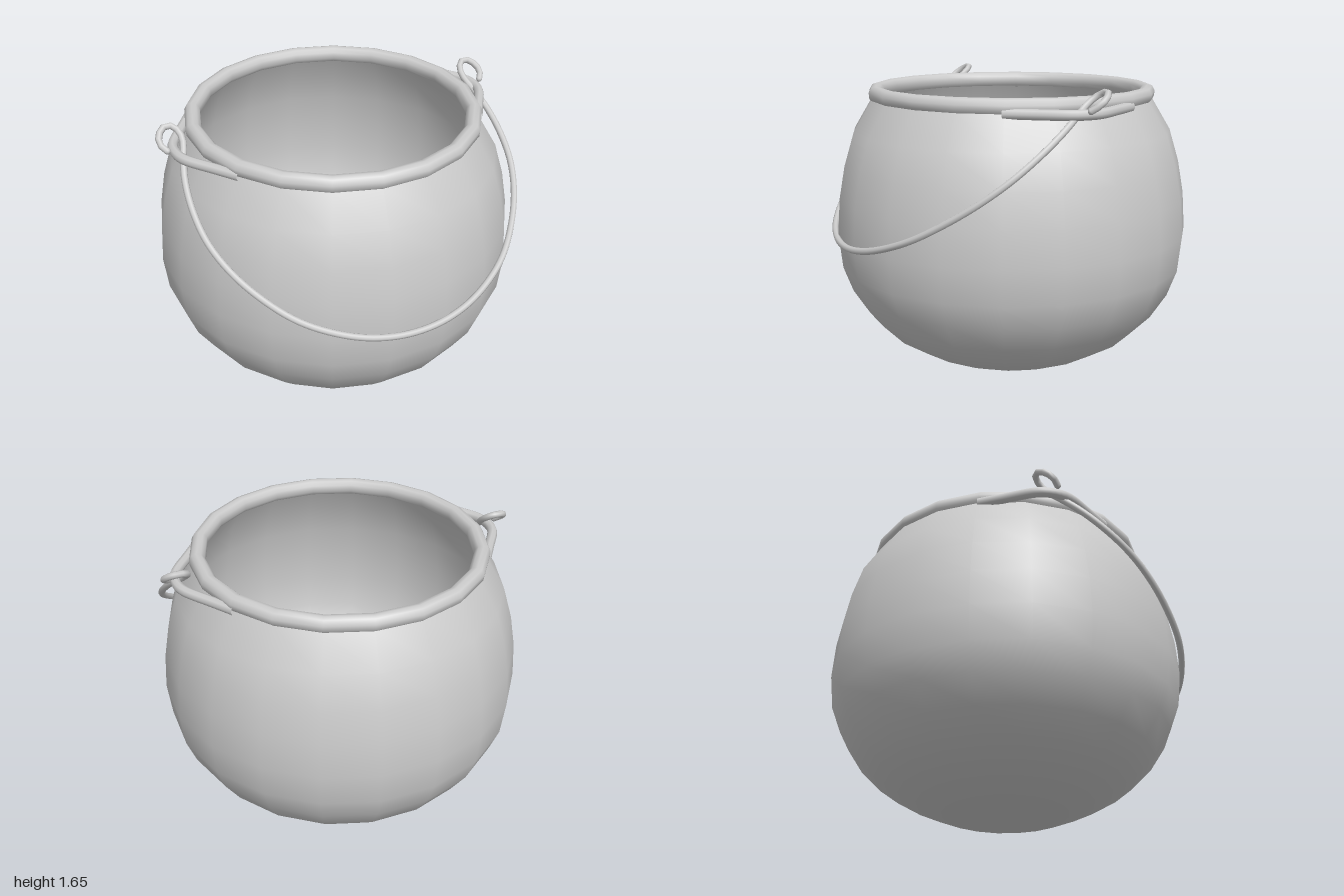
import * as THREE from 'three';

const material = new THREE.MeshStandardMaterial({ color: 0xcccccc });
const SIDES = 20;

function add(parent, name, geometry) {
  const mesh = new THREE.Mesh(geometry, material);
  mesh.name = name;
  parent.add(mesh);
  return mesh;
}

// Turned part with flat sides facing the main axes
function lathe(points) {
  const profile = points.map(([r, y]) => new THREE.Vector2(r, y));
  return new THREE.LatheGeometry(profile, SIDES, Math.PI / SIDES);
}

function tube(points, segments, radius, sides) {
  return new THREE.TubeGeometry(new THREE.CatmullRomCurve3(points), segments, radius, sides);
}

export function createModel() {
  const group = new THREE.Group();
  const pot = new THREE.Group();
  pot.name = 'pot';
  pot.position.z = -0.02;
  group.add(pot);

  // Round belly, outside
  const outer = [[0, 0], [0.18, 0.002], [0.37, 0.04], [0.55, 0.115], [0.71, 0.21], [0.83, 0.33],
    [0.92, 0.47], [0.972, 0.61], [0.992, 0.8], [0.978, 1.0], [0.945, 1.18], [0.89, 1.36], [0.785, 1.535]];
  add(pot, 'bellyOutside', lathe(outer));

  // Belly inside, following the outer wall
  const inner = outer.map(([r, y]) => [Math.max(0, r * 0.955 - 0.01), 0.045 + y * 0.985]).reverse();
  add(pot, 'bellyInside', lathe(inner));

  // Thick rounded rim
  add(pot, 'rim', lathe([[0.735, 1.525], [0.775, 1.522], [0.797, 1.545], [0.8, 1.575], [0.785, 1.602],
    [0.76, 1.61], [0.735, 1.604], [0.717, 1.585], [0.715, 1.55], [0.735, 1.525]]));

  // Side lugs that hold the handle
  for (const side of [1, -1]) {
    const path = [[0.69, -0.36], [0.77, -0.245], [0.87, -0.1], [0.89, -0.04], [0.89, 0.04], [0.87, 0.1],
      [0.77, 0.245], [0.69, 0.36]].map(([x, z]) => new THREE.Vector3(side * x, 1.535, z));
    add(pot, side > 0 ? 'leftLug' : 'rightLug', tube(path, 28, 0.027, 8));
  }

  // Hanging wire handle with a curled hook at each end, lying in a tilted plane
  const half = [[0.1, 0.785], [0.29, 0.812], [0.46, 0.862], [0.61, 0.93], [0.74, 1.025], [0.84, 1.13],
    [0.9, 1.24], [0.915, 1.35], [0.9, 1.45], [0.865, 1.53], [0.843, 1.57], [0.843, 1.61], [0.87, 1.636],
    [0.91, 1.638], [0.945, 1.618], [0.96, 1.585], [0.935, 1.557]];
  const place = ([x, y]) => new THREE.Vector3(x, y, 0.975 - (y - 0.785) / 0.78);
  const path = [...half.map(([x, y]) => [-x, y]).reverse(), ...half].map(place);
  const handle = new THREE.Group();
  handle.name = 'handle';
  group.add(handle);
  add(handle, 'handleWire', tube(path, 110, 0.018, 8));
  for (const end of [path[0], path[path.length - 1]]) {
    add(handle, 'hookTip', new THREE.SphereGeometry(0.018, 8, 6)).position.copy(end);
  }

  return group;
}
